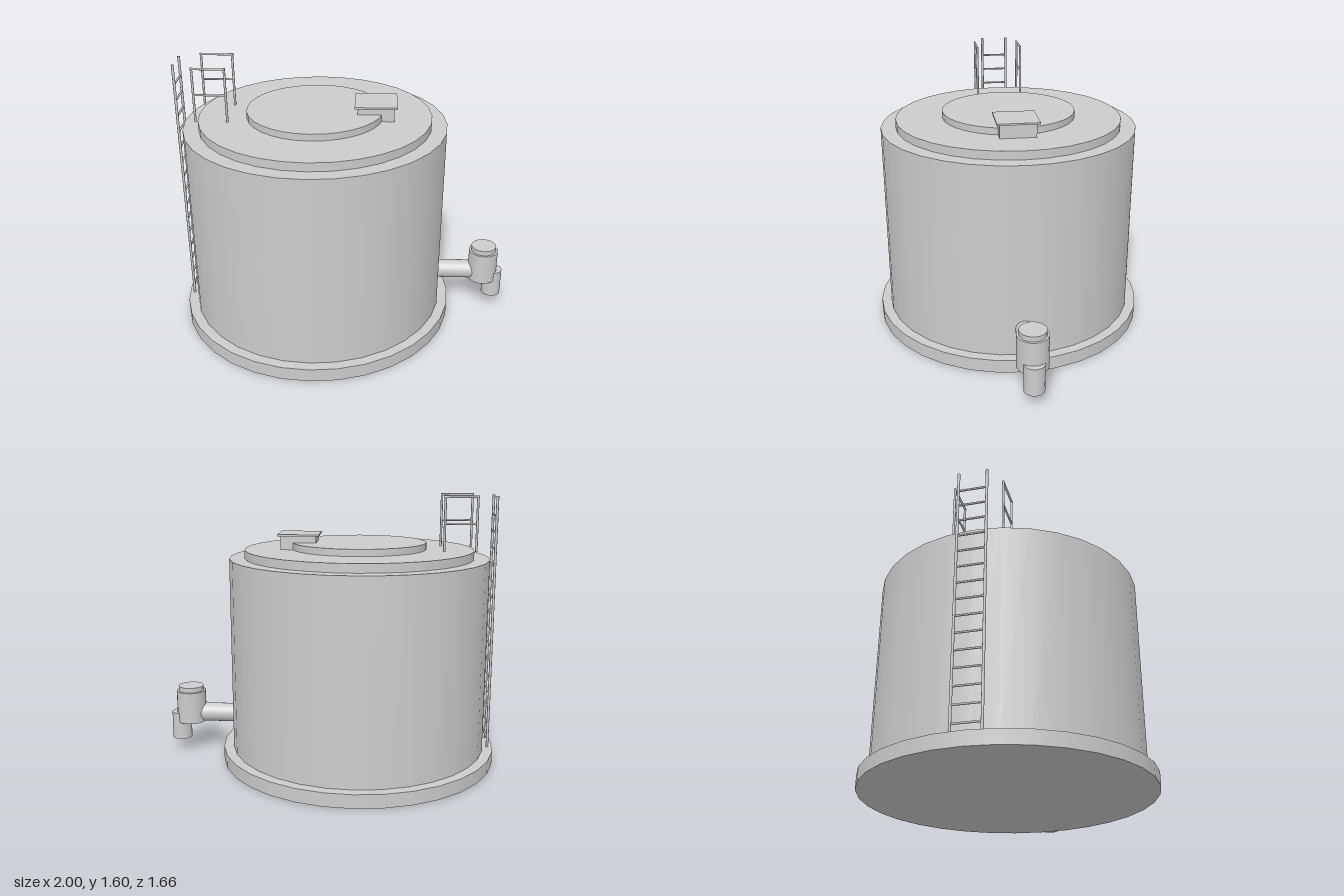
import * as THREE from 'three';

export function createModel() {
  const model = new THREE.Group();
  model.name = 'storageTank';
  const grey = new THREE.MeshStandardMaterial({ color: 0xcccccc });
  grey.name = 'light grey';

  const add = (name, geometry, x, y, z, parent = model) => {
    const mesh = new THREE.Mesh(geometry, grey);
    mesh.name = name;
    mesh.position.set(x, y, z);
    parent.add(mesh);
    return mesh;
  };
  // Upright cylinder between two heights
  const drum = (name, r, y0, y1, x, sides = 32) =>
    add(name, new THREE.CylinderGeometry(r, r, y1 - y0, sides), x, (y0 + y1) / 2, 0);
  // Round bar between two points
  const bar = (name, r, a, b, parent, sides = 8) => {
    const from = new THREE.Vector3(...a), to = new THREE.Vector3(...b);
    const dir = to.clone().sub(from);
    const mid = from.clone().add(to).multiplyScalar(0.5);
    const mesh = add(name, new THREE.CylinderGeometry(r, r, dir.length(), sides), mid.x, mid.y, mid.z, parent);
    mesh.quaternion.setFromUnitVectors(new THREE.Vector3(0, 1, 0), dir.normalize());
  };

  // Tank
  const cx = -0.17;
  drum('base', 0.83, 0, 0.08, cx);
  drum('tankWall', 0.77, 0.08, 1.235, cx);
  drum('roof', 0.68, 1.235, 1.285, cx);
  drum('roofDisc', 0.4, 1.285, 1.325, cx);

  // Roof hatch
  add('hatchBox', new THREE.BoxGeometry(0.21, 0.08, 0.21), 0.183, 1.325, 0);
  add('hatchLid', new THREE.BoxGeometry(0.245, 0.01, 0.245), 0.183, 1.37, 0);

  // Outlet pipe and valve
  bar('outletPipe', 0.057, [0.56, 0.245, 0], [0.85, 0.245, 0], model, 24);
  drum('valveBody', 0.09, 0.19, 0.387, 0.876, 24);
  drum('valveCap', 0.077, 0.387, 0.417, 0.876, 24);
  drum('spout', 0.059, 0.08, 0.247, 0.941, 24);

  // Ladder
  const ladder = new THREE.Group();
  ladder.name = 'ladder';
  model.add(ladder);
  const lx = -0.965;
  for (const z of [-0.08, 0.08]) bar('ladderRail', 0.008, [lx, 0.08, z], [lx, 1.6, z], ladder);
  for (let i = 0; i < 15; i++) {
    const y = 0.13 + i * 0.0968;
    bar('rung', 0.006, [lx, y, -0.08], [lx, y, 0.08], ladder);
  }

  // Handrails on the roof, one each side of the ladder
  for (const z of [-0.14, 0.14]) {
    const rail = new THREE.Group();
    rail.name = 'handrail';
    model.add(rail);
    for (const x of [-0.847, -0.664]) bar('post', 0.007, [x, 1.285, z], [x, 1.6, z], rail);
    bar('topBar', 0.007, [-0.854, 1.597, z], [-0.657, 1.597, z], rail);
    bar('midBar', 0.006, [-0.847, 1.444, z], [-0.664, 1.444, z], rail);
  }
  return model;
}
